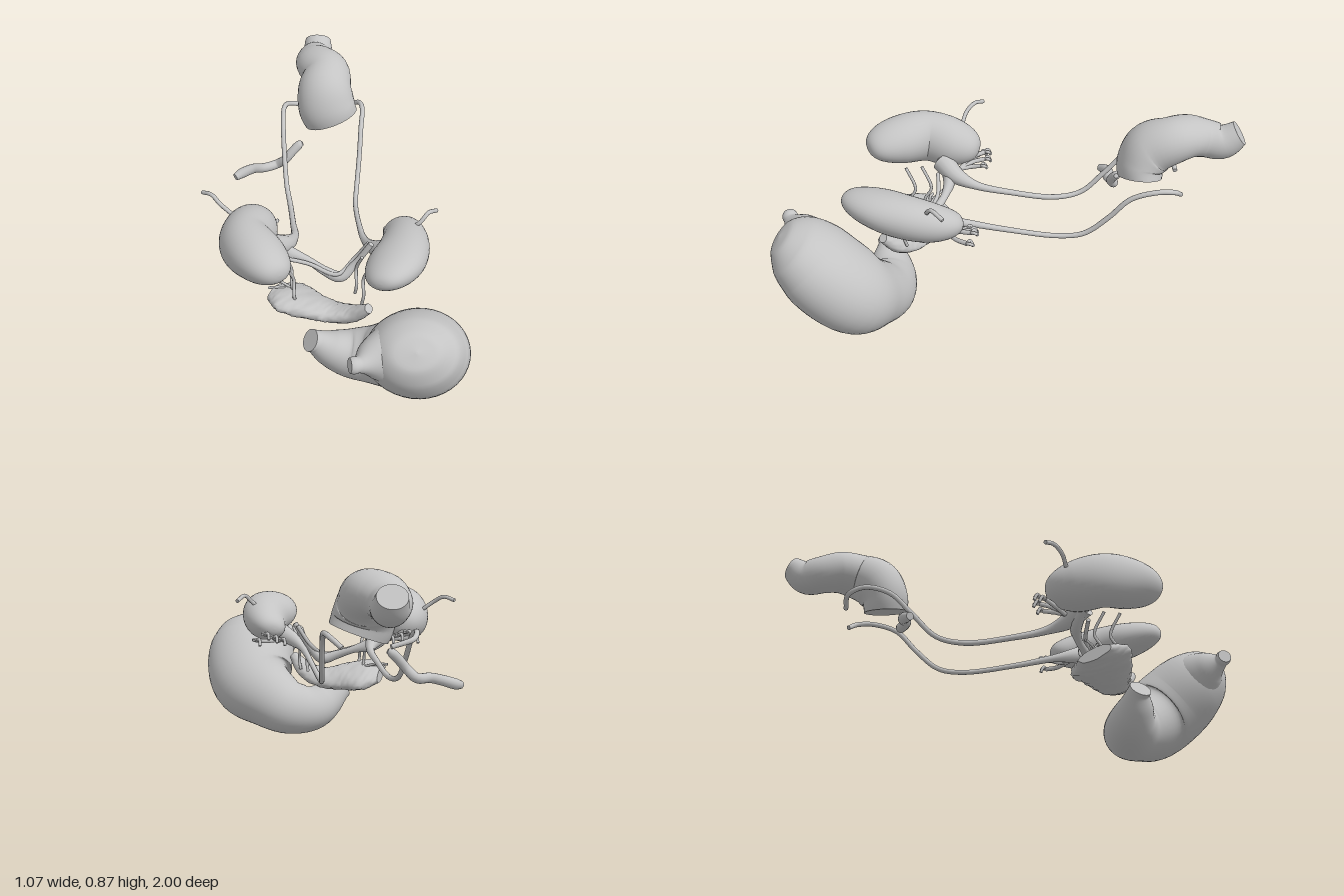
import * as THREE from 'three';

const tissue = new THREE.MeshStandardMaterial({ color: 0xc4c4c4, side: THREE.DoubleSide });
tissue.name = 'grey tissue';

// Loft elliptical rings along a curve. Each station is [x, y, z, sideRadius, upRadius].
function loft(stations, { up = [0, 1, 0], rows = 40, sides = 28, oval = 0, bump = 0 } = {}) {
  const path = new THREE.CatmullRomCurve3(stations.map(s => new THREE.Vector3(s[0], s[1], s[2])));
  const size = new THREE.CatmullRomCurve3(stations.map((s, i) => new THREE.Vector3(s[3], s[4] ?? s[3], i)));
  const ref = new THREE.Vector3(...up), pos = [], index = [];
  for (let i = 0; i <= rows; i++) {
    // oval lofts bunch their rings towards the rounded ends
    const t = oval ? 0.5 - 0.5 * Math.cos(Math.PI * i / rows) : i / rows;
    const p = path.getPoint(t), T = path.getTangent(t), r = size.getPoint(t);
    const N = ref.clone().addScaledVector(T, -ref.dot(T)).normalize();
    const S = new THREE.Vector3().crossVectors(N, T);
    const k = oval ? Math.pow(Math.max(0, 1 - Math.pow(Math.abs(2 * t - 1), oval)), 1 / oval) : 1;
    for (let j = 0; j < sides; j++) {
      const a = j / sides * Math.PI * 2;
      const b = 1 + bump * (Math.sin(a * 4 + i * i * 0.7) + Math.sin(a * 7 + i * i * 1.9));
      const v = p.clone()
        .addScaledVector(S, Math.cos(a) * Math.max(r.x, 0.0005) * k * b)
        .addScaledVector(N, Math.sin(a) * Math.max(r.y, 0.0005) * k * b);
      pos.push(v.x, v.y, v.z);
    }
  }
  for (let i = 0; i < rows; i++) for (let j = 0; j < sides; j++) {
    const a = i * sides + j, b = i * sides + (j + 1) % sides;
    index.push(a, b, a + sides, b, b + sides, a + sides);
  }
  // flat end caps with their own vertices
  for (const row of [0, rows]) {
    const base = pos.length / 3;
    for (let j = 0; j < sides; j++) pos.push(...pos.slice((row * sides + j) * 3, (row * sides + j) * 3 + 3));
    for (let j = 1; j < sides - 1; j++) {
      if (row) index.push(base, base + j, base + j + 1);
      else index.push(base, base + j + 1, base + j);
    }
  }
  const g = new THREE.BufferGeometry();
  g.setAttribute('position', new THREE.Float32BufferAttribute(pos, 3));
  g.setIndex(index);
  g.computeVertexNormals();
  return g;
}

export function createModel() {
  const group = new THREE.Group();
  const add = (name, stations, options) => {
    const mesh = new THREE.Mesh(loft(stations, options), tissue);
    mesh.name = name;
    group.add(mesh);
  };
  // thin vessel of even thickness
  const vessel = (name, r, points) =>
    add(name, points.map(p => [...p, r]), { up: [0.13, 0.3, 0.94], rows: 6 * points.length, sides: 8 });

  // Stomach: a bent sac lying in a slanted plane; stations are x, distance up the slant, lift, radii
  const slant = ([x, s, t, w, h]) => [x, 0.27 + 0.67 * s + 0.74 * t, 0.71 + 0.74 * s - 0.67 * t, w, h];
  add('stomach', [
    [0.29, 0.342, 0, 0.004, 0.004], [0.29, 0.33, 0, 0.09, 0.07], [0.29, 0.268, 0, 0.165, 0.132],
    [0.3, 0.17, 0, 0.2, 0.168], [0.325, 0.06, 0, 0.205, 0.18], [0.318, -0.06, 0, 0.193, 0.175],
    [0.25, -0.15, 0, 0.155, 0.148], [0.16, -0.22, 0.002, 0.132, 0.122], [0.06, -0.235, 0.012, 0.113, 0.102],
    [-0.02, -0.205, 0.035, 0.087, 0.076], [-0.075, -0.175, 0.06, 0.056, 0.05], [-0.098, -0.158, 0.066, 0.048, 0.048],
  ].map(slant), { up: [0, 0.74, -0.67], rows: 60, sides: 40 });
  add('stomachInlet', [
    [0.04, 0.437, 0.953, 0.03], [0.055, 0.435, 0.95, 0.034], [0.08, 0.43, 0.94, 0.035],
    [0.13, 0.418, 0.9, 0.08], [0.2, 0.4, 0.86, 0.12], [0.29, 0.38, 0.83, 0.125],
  ]);

  // Rectum: wide mouth facing down, swaying sideways as it bends back to a narrower end
  add('rectum', [
    [0.035, 0.61, -0.548, 0.095, 0.125], [0.015, 0.665, -0.552, 0.102, 0.13], [0.008, 0.73, -0.592, 0.112, 0.124],
    [0.018, 0.772, -0.67, 0.1, 0.108], [-0.015, 0.775, -0.75, 0.088, 0.104], [-0.03, 0.755, -0.825, 0.08, 0.088],
    [-0.015, 0.747, -0.9, 0.075, 0.073], [-0.01, 0.79, -0.965, 0.052, 0.06],
  ], { up: [1, 0, 0] });

  // Kidneys: beans bowed outwards, inner edges lower
  add('rightKidney', [
    [-0.29, 0.555, 0.135, 0.115, 0.1], [-0.325, 0.57, 0.25, 0.116, 0.115],
    [-0.353, 0.59, 0.37, 0.106, 0.118], [-0.295, 0.605, 0.49, 0.122, 0.11], [-0.215, 0.61, 0.62, 0.13, 0.1],
  ], { up: [0.25, 1, 0], oval: 2.5, sides: 36 });
  add('leftKidney', [
    [0.272, 0.54, 0.205, 0.108, 0.078], [0.297, 0.56, 0.32, 0.098, 0.086],
    [0.282, 0.58, 0.44, 0.108, 0.09], [0.235, 0.597, 0.56, 0.125, 0.086], [0.17, 0.615, 0.695, 0.125, 0.078],
  ], { up: [-0.3, 1, 0], oval: 2.5, sides: 36 });

  // Ureters, flaring into the kidneys
  add('rightUreter', [
    [-0.25, 0.52, 0.3, 0.05], [-0.19, 0.48, 0.24, 0.038], [-0.152, 0.45, 0.15, 0.019], [-0.155, 0.41, 0, 0.013],
    [-0.165, 0.375, -0.2, 0.012], [-0.178, 0.395, -0.32, 0.011], [-0.185, 0.49, -0.42, 0.011],
    [-0.187, 0.59, -0.52, 0.011], [-0.18, 0.62, -0.63, 0.011], [-0.15, 0.6, -0.7, 0.011], [-0.06, 0.575, -0.715, 0.01],
  ], { up: [1, 0.1, 0.1], rows: 70, sides: 12 });
  add('leftUreter', [
    [0.24, 0.52, 0.35, 0.045], [0.18, 0.485, 0.29, 0.032], [0.147, 0.455, 0.2, 0.017], [0.133, 0.41, 0.03, 0.012],
    [0.13, 0.37, -0.2, 0.011], [0.142, 0.39, -0.31, 0.011], [0.158, 0.48, -0.41, 0.011],
    [0.17, 0.58, -0.5, 0.011], [0.182, 0.62, -0.61, 0.011], [0.168, 0.61, -0.68, 0.011], [0.13, 0.575, -0.715, 0.01],
  ], { up: [1, 0.1, 0.1], rows: 70, sides: 12 });

  // Pancreas: lumpy, with a broad flat head sloping down to the back
  add('pancreas', [
    [-0.24, 0.305, 0.34, 0.075, 0.028], [-0.18, 0.3, 0.37, 0.135, 0.045], [-0.09, 0.288, 0.415, 0.11, 0.045],
    [0, 0.278, 0.45, 0.078, 0.038], [0.08, 0.305, 0.495, 0.052, 0.036], [0.14, 0.375, 0.55, 0.02, 0.02],
  ], { up: [0, 0.95, -0.34], bump: 0.025, rows: 40, sides: 32 });

  // Appendix: a wavy blunt tube
  add('appendix', [
    [-0.415, 0.372, -0.425, 0.017], [-0.385, 0.38, -0.445, 0.023], [-0.33, 0.398, -0.455, 0.022],
    [-0.28, 0.408, -0.445, 0.021], [-0.22, 0.412, -0.468, 0.021], [-0.18, 0.45, -0.45, 0.02],
    [-0.15, 0.485, -0.455, 0.02], [-0.115, 0.518, -0.465, 0.019], [-0.1, 0.525, -0.465, 0.01],
  ], { sides: 14 });

  // Main vessels meeting between the kidneys
  add('mainVein', [
    [-0.27, 0.53, 0.3, 0.045, 0.03], [-0.19, 0.46, 0.27, 0.035, 0.028], [-0.1, 0.43, 0.29, 0.017, 0.017],
    [-0.03, 0.402, 0.33, 0.02, 0.02], [0.035, 0.385, 0.35, 0.024, 0.022], [0.1, 0.45, 0.34, 0.014, 0.014],
    [0.16, 0.55, 0.35, 0.012, 0.012],
  ], { up: [0, 0, 1], sides: 14 });
  vessel('mainArtery', 0.009, [[-0.22, 0.47, 0.32], [-0.1, 0.435, 0.32], [0.02, 0.405, 0.36], [0.09, 0.45, 0.32], [0.15, 0.54, 0.33]]);

  // Slender vessels dropping from the kidneys to the pancreas
  for (const [x, z] of [[-0.168, 0.36], [-0.16, 0.43], [0.1, 0.37], [0.125, 0.44]]) {
    vessel('pancreasVessel', 0.007, [[x * 1.2, 0.52, z + 0.03], [x, 0.43, z - 0.01], [x, 0.37, z + 0.02], [x * 0.95, 0.32, z + 0.01]]);
  }
  for (let i = 0; i < 3; i++) {
    vessel('pancreasTwig', 0.006, [[-0.17, 0.34 - 0.01 * i, 0.36], [-0.22, 0.355 - 0.01 * i, 0.33 + 0.03 * i], [-0.265, 0.355 - 0.02 * i, 0.3 + 0.05 * i]]);
  }

  // Forked twigs behind each kidney
  for (const [cx, cy, cz, dir] of [[-0.23, 0.49, 0.22, -1], [0.24, 0.485, 0.28, 1]]) {
    for (let i = 0; i < 4; i++) {
      const x = cx + dir * (0.005 + 0.037 * i), z = cz - 0.12 + 0.018 * Math.abs(i - 1.5);
      const y = cy + 0.014 * (i % 3);
      vessel('kidneyTwig', 0.01, [[cx, cy, cz], [(cx + x) / 2 + dir * 0.012, y, (cz + z) / 2], [x, y + 0.01, z]]);
      for (const s of [-1, 1]) vessel('twigTip', 0.007, [[x, y + 0.01, z], [x + s * 0.012, y + 0.016, z - 0.012], [x + s * 0.014, y + 0.012 * s, z - 0.026]]);
    }
  }

  // Loose curled vessel on the outer side of each kidney
  vessel('rightOuterVessel', 0.009, [[-0.53, 0.665, 0.115], [-0.49, 0.678, 0.155], [-0.455, 0.655, 0.19], [-0.41, 0.62, 0.21]]);
  vessel('leftOuterVessel', 0.009, [[0.43, 0.662, 0.28], [0.39, 0.682, 0.325], [0.36, 0.655, 0.345], [0.32, 0.62, 0.345]]);

  return group;
}
